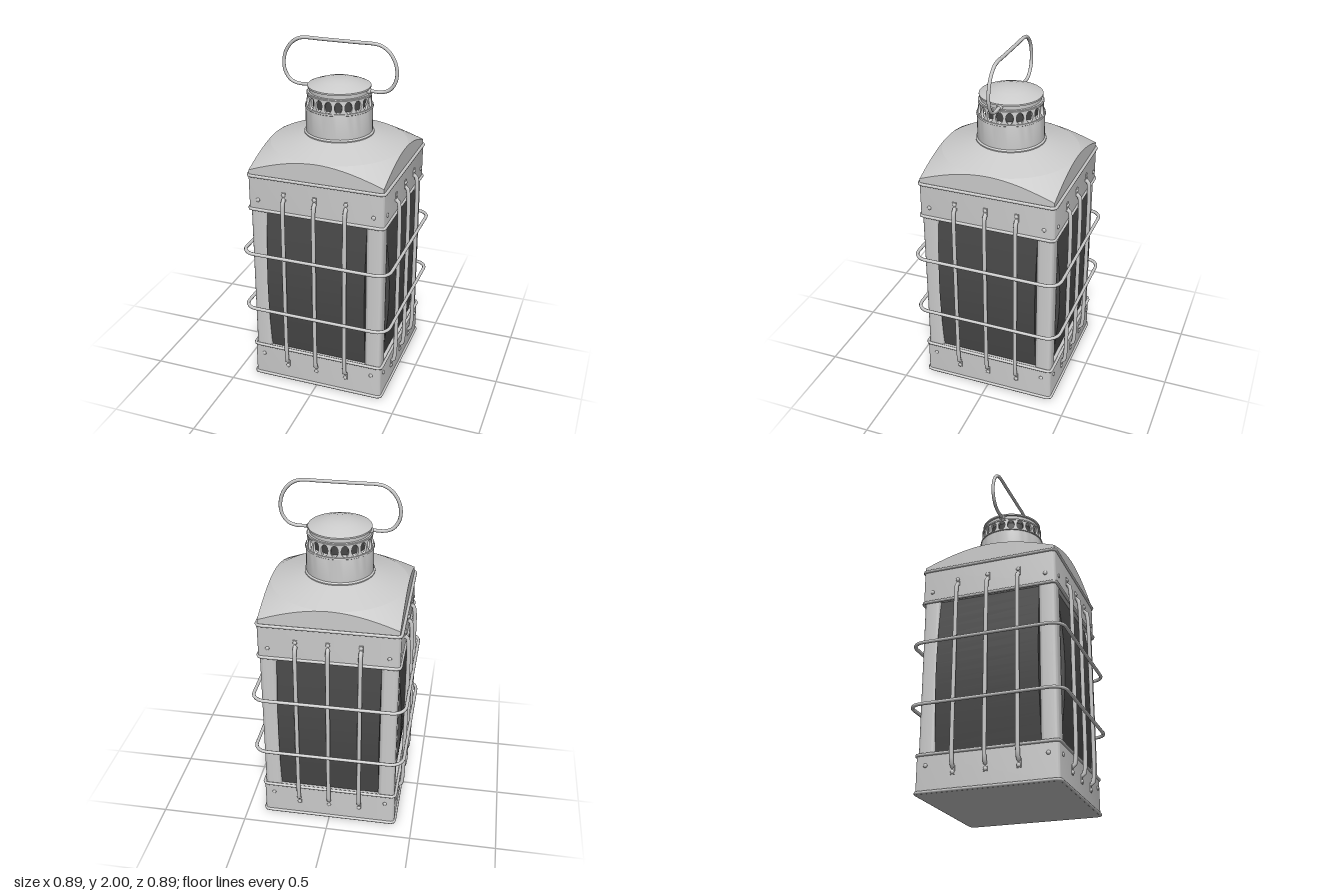
import * as THREE from 'three';
import { toCreasedNormals } from 'three/addons/utils/BufferGeometryUtils.js';

const grey = new THREE.MeshStandardMaterial({ color: 0xcccccc });
const dark = new THREE.MeshStandardMaterial({ color: 0x484848 });
const V = (x, y, z) => new THREE.Vector3(x, y, z);

function add(parent, name, geometry, material = grey) {
  const mesh = new THREE.Mesh(geometry, material);
  mesh.name = name;
  parent.add(mesh);
  return mesh;
}

const crease = (g, angle = 0.6) => toCreasedNormals(g, angle);

// Square of half size h with corners rounded by radius r
function roundedSquare(h, r) {
  const s = new THREE.Shape();
  for (let i = 0; i < 4; i++) {
    const sx = [1, -1, -1, 1][i], sy = [1, 1, -1, -1][i];
    s.absarc(sx * (h - r), sy * (h - r), r, i * Math.PI / 2, (i + 1) * Math.PI / 2, false);
  }
  s.closePath();
  return s;
}

// Upright prism with a rounded square section
function prism(h, r, y0, y1) {
  const g = new THREE.ExtrudeGeometry(roundedSquare(h, r), { depth: y1 - y0, bevelEnabled: false, curveSegments: 5 });
  return crease(g.rotateX(-Math.PI / 2).translate(0, y0, 0));
}

// Wire bent into a rounded square, lying level
function squareWire(h, r, wire, y) {
  const path = new THREE.CurvePath();
  const pts = roundedSquare(h, r).getPoints(6).map(p => V(p.x, y, -p.y));
  if (pts[0].distanceTo(pts[pts.length - 1]) > 1e-5) pts.push(pts[0].clone());
  for (let i = 0; i + 1 < pts.length; i++) {
    if (pts[i].distanceTo(pts[i + 1]) > 1e-5) path.add(new THREE.LineCurve3(pts[i], pts[i + 1]));
  }
  return new THREE.TubeGeometry(path, 160, wire, 8, true);
}

// Roof: two stacked cones trimmed by the square of the body
function roofGeometry() {
  const h = 0.387, n = 64, pos = [], index = [];
  for (let i = 0; i <= n; i++) {
    const a = i / n * Math.PI * 2, c = Math.cos(a), s = Math.sin(a);
    const edge = h / Math.max(Math.abs(c), Math.abs(s));
    const rings = [[0.18, 1.482], [h, 1.42], [edge, 1.42 - (edge - h) * 0.53], [edge, 1.3]];
    for (const [r, y] of rings) pos.push(r * c, y, r * s);
    if (i === n) break;
    for (let j = 0; j < 3; j++) {
      const k = i * 4 + j;
      index.push(k, k + 4, k + 5, k, k + 5, k + 1);
    }
  }
  const g = new THREE.BufferGeometry();
  g.setAttribute('position', new THREE.Float32BufferAttribute(pos, 3));
  g.setIndex(index);
  return crease(g, 0.15);
}

// One cell of the vent band with an oval hole, bent round the chimney
function ventCell(count) {
  const R = 0.172, w = Math.PI * 2 * R / count, h = 0.085;
  const s = new THREE.Shape([[-w / 2, 0], [0, 0], [w / 2, 0], [w / 2, h], [0, h], [-w / 2, h]]
    .map(p => new THREE.Vector2(...p)));
  s.holes.push(new THREE.Path().absellipse(0, 0.04, w * 0.37, 0.032, 0, Math.PI * 2, true));
  const g = new THREE.ExtrudeGeometry(s, { depth: 0.013, bevelEnabled: false, curveSegments: 8 });
  const p = g.attributes.position;
  for (let i = 0; i < p.count; i++) {
    const a = p.getX(i) / R, y = p.getY(i), r = R + p.getZ(i) - y * 0.1;
    p.setXYZ(i, r * Math.sin(a), y + 1.628, r * Math.cos(a));
  }
  return crease(g);
}

const lathe = pts => crease(new THREE.LatheGeometry(pts.map(p => new THREE.Vector2(...p)), 48), 0.4);

// Bowed glass block between the corner posts
function glassGeometry() {
  const s = new THREE.Shape();
  s.moveTo(0.3, 0.2);
  for (let i = 0; i <= 16; i++) {
    const t = i / 16;
    s.lineTo(0.365 + 0.038 * Math.sin(Math.PI * t), 0.2 + 0.91 * t);
  }
  s.lineTo(0.3, 1.11);
  const g = new THREE.ExtrudeGeometry(s, { depth: 0.584, bevelEnabled: false });
  return crease(g.translate(0, 0, -0.292).rotateY(-Math.PI / 2));
}

// Glass, guard bars and rivets of one side, facing +z
function buildSide() {
  const side = new THREE.Group();
  side.name = 'lanternSide';
  add(side, 'glassPane', glassGeometry(), dark);
  const rivet = new THREE.SphereGeometry(0.012, 10, 6).scale(1, 1, 0.6);
  const tab = new THREE.BoxGeometry(0.024, 0.05, 0.006);
  for (const x of [-0.18, 0, 0.18]) {
    const path = new THREE.CatmullRomCurve3([
      V(x, 0.125, 0.39), V(x, 0.138, 0.408), V(x, 0.18, 0.415), V(x, 0.32, 0.418), V(x, 0.66, 0.418),
      V(x, 1.0, 0.418), V(x, 1.14, 0.415), V(x, 1.18, 0.408), V(x, 1.195, 0.39)]);
    add(side, 'guardBar', new THREE.TubeGeometry(path, 40, 0.012, 8));
    for (const [yTab, yRivet] of [[0.112, 0.1], [1.206, 1.217]]) {
      add(side, 'barTab', tab).position.set(x, yTab, 0.395);
      add(side, 'barRivet', rivet).position.set(x, yRivet, 0.398);
    }
  }
  for (const x of [-0.335, 0.335]) {
    for (const y of [0.15, 1.165]) add(side, 'bandRivet', rivet).position.set(x, y, 0.394);
  }
  return side;
}

export function createModel() {
  const model = new THREE.Group();
  model.name = 'lantern';

  // Body bands, corner posts and rims
  add(model, 'lowerBand', prism(0.393, 0.02, 0, 0.21));
  add(model, 'upperBand', prism(0.393, 0.02, 1.105, 1.305));
  const post = prism(0.0485, 0.025, 0.2, 1.11);
  for (const x of [-1, 1]) for (const z of [-1, 1]) {
    add(model, 'cornerPost', post).position.set(x * 0.3385, 0, z * 0.3385);
  }
  for (const y of [0.009, 0.21, 1.105, 1.305]) add(model, 'rim', squareWire(0.395, 0.02, 0.009, y));

  // Four equal sides
  for (let i = 0; i < 4; i++) {
    const side = buildSide();
    side.rotation.y = i * Math.PI / 2;
    model.add(side);
  }

  // Guard rings
  for (const y of [0.48, 0.84]) add(model, 'guardRing', squareWire(0.434, 0.075, 0.01, y));

  // Roof and chimney
  add(model, 'roof', roofGeometry());
  add(model, 'chimney', lathe([[0.197, 1.465], [0.197, 1.483], [0.188, 1.49], [0.188, 1.625],
    [0.192, 1.628], [0.19, 1.636], [0.15, 1.636]]));
  add(model, 'chimneyCore', new THREE.CylinderGeometry(0.145, 0.145, 0.1, 32).translate(0, 1.67, 0), dark);
  const cells = 20, cell = ventCell(cells);
  for (let i = 0; i < cells; i++) add(model, 'ventCell', cell).rotation.y = i / cells * Math.PI * 2;

  // Cap
  add(model, 'cap', lathe([[0, 1.7], [0.182, 1.7], [0.182, 1.708], [0.167, 1.715], [0.167, 1.735], [0.176, 1.737],
    [0.176, 1.746], [0.162, 1.752], [0.15, 1.756], [0.1, 1.774], [0.055, 1.785], [0, 1.786]]));

  // Carrying handle
  const half = [[0.165, 1.728], [0.2, 1.727], [0.24, 1.727], [0.285, 1.742], [0.318, 1.785], [0.328, 1.835],
    [0.318, 1.895], [0.285, 1.95], [0.24, 1.982], [0.2, 1.99], [0.1, 1.99]];
  const points = [...half.map(([x, y]) => V(x, y, 0)), ...half.map(([x, y]) => V(-x, y, 0)).reverse()];
  add(model, 'handle', new THREE.TubeGeometry(new THREE.CatmullRomCurve3(points), 100, 0.01, 8));
  for (const s of [-1, 1]) {
    add(model, 'handlePivot', new THREE.SphereGeometry(0.017, 12, 8)).position.set(s * 0.17, 1.727, 0);
  }
  return model;
}
